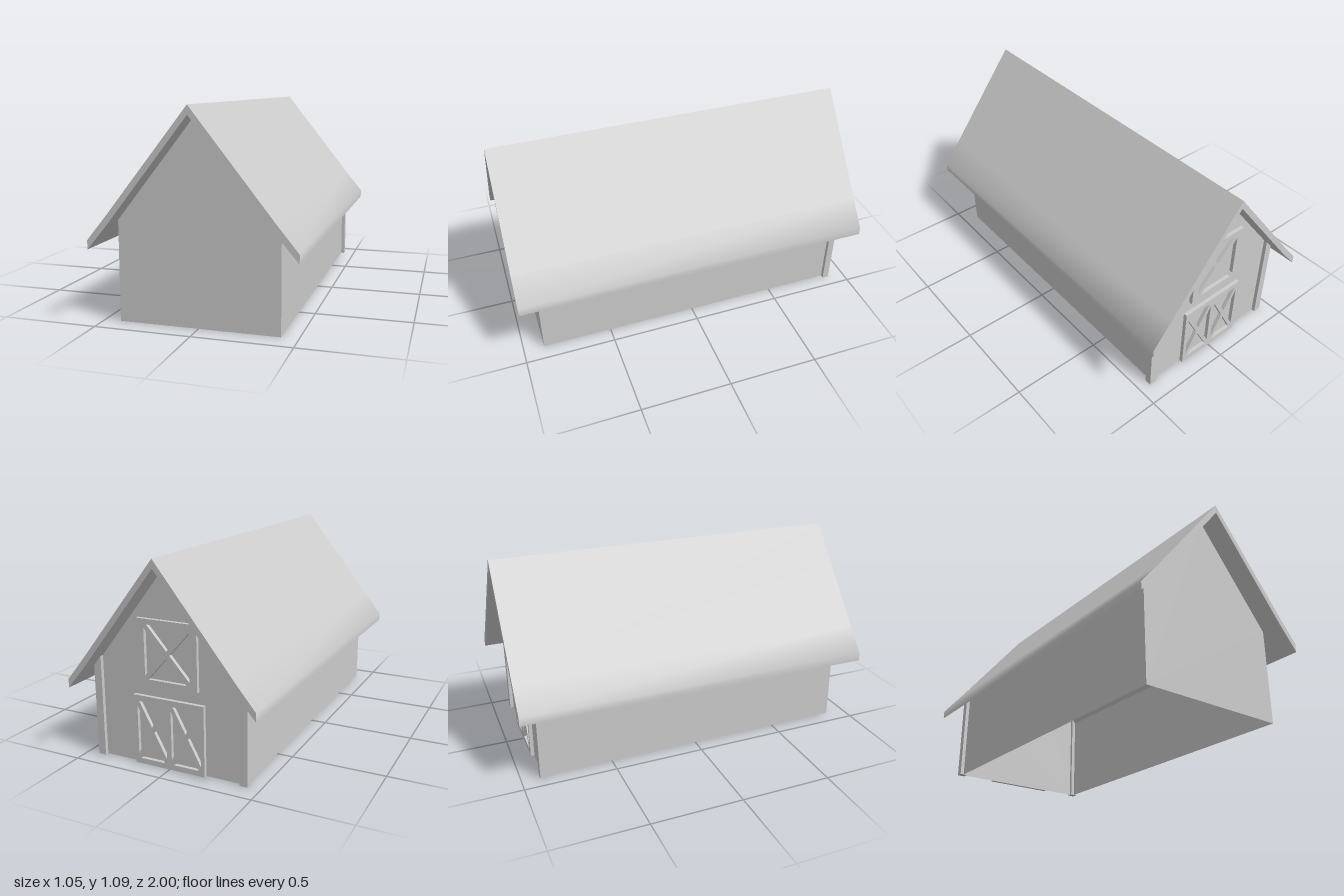
import * as THREE from 'three';
import { toCreasedNormals } from 'three/addons/utils/BufferGeometryUtils.js';

const grey = new THREE.MeshStandardMaterial({ color: 0xcccccc });
const thin = new THREE.MeshStandardMaterial({ color: 0xcccccc, side: THREE.DoubleSide });

const WALL_X = 0.414, WALL_Y = 0.516, APEX = 1.04;
const FRONT_Z = 0.887, BACK_Z = -0.882, TRIM_Z = -0.902;

const shapeOf = (pts) => new THREE.Shape(pts.map(([x, y]) => new THREE.Vector2(x, y)));

function add(parent, name, geometry, material = grey) {
  const mesh = new THREE.Mesh(geometry, material);
  mesh.name = name;
  parent.add(mesh);
  return mesh;
}

// Extrudes a front-on outline between two depths
function slab(parent, name, shape, z0, z1) {
  const g = new THREE.ExtrudeGeometry(shape, { depth: z1 - z0, bevelEnabled: false });
  g.translate(0, 0, z0);
  return add(parent, name, g);
}

// Four triangular openings that leave an X brace inside a rectangle
function cutBrace(shape, cx, cy, a, b, t) {
  const len = Math.hypot(a, b), dx = (t * len) / b, dy = (t * len) / a;
  for (const s of [-1, 1]) {
    const triangles = [
      [[0, s * dy], [a - dx, s * b], [dx - a, s * b]],
      [[s * dx, 0], [s * a, b - dy], [s * a, dy - b]],
    ];
    for (const tri of triangles) {
      shape.holes.push(new THREE.Path(tri.map(([x, y]) => new THREE.Vector2(cx + x, cy + y))));
    }
  }
}

const rect = (w, y0, y1) => shapeOf([[-w, y0], [w, y0], [w, y1], [-w, y1]]);

export function createModel() {
  const barn = new THREE.Group();
  barn.name = 'barn';

  // Thin walls, open underneath
  const walls = new THREE.Group();
  walls.name = 'walls';
  barn.add(walls);
  const gable = shapeOf([[-WALL_X, 0], [WALL_X, 0], [WALL_X, WALL_Y], [0, APEX], [-WALL_X, WALL_Y]]);
  add(walls, 'frontWall', new THREE.ShapeGeometry(gable), thin).position.z = FRONT_Z;
  const back = add(walls, 'backWall', new THREE.ShapeGeometry(gable), thin);
  back.rotation.y = Math.PI;
  back.position.z = BACK_Z;
  for (const s of [-1, 1]) {
    const side = add(walls, s > 0 ? 'leftWall' : 'rightWall',
      new THREE.PlaneGeometry(FRONT_Z - BACK_Z, WALL_Y), thin);
    side.rotation.y = (s * Math.PI) / 2;
    side.position.set(s * WALL_X, WALL_Y / 2, (FRONT_Z + BACK_Z) / 2);
  }

  // Roof with slightly flared eaves, softly rounded into the fascia
  const half = [[WALL_X, 0.565], [0.524, 0.432], [0.524, 0.386], [WALL_X, WALL_Y]];
  const mirrored = half.map(([x, y]) => [-x, y]).reverse();
  const roof = slab(barn, 'roof', shapeOf([[0, 1.086], ...half, [0, APEX], ...mirrored]), -1, 1);
  roof.geometry = toCreasedNormals(roof.geometry, Math.PI / 3);

  // Corner boards beside the doors, cut to the roof slope
  for (const s of [-1, 1]) {
    const board = [[0.392, 0], [0.435, 0], [0.435, 0.495], [WALL_X, 0.518], [0.392, 0.545]];
    slab(barn, s > 0 ? 'leftCornerBoard' : 'rightCornerBoard',
      shapeOf(board.map(([x, y]) => [s * x, y])), TRIM_Z, -0.865);
  }

  // Double barn door
  const door = rect(0.2, 0, 0.37);
  for (const s of [-1, 1]) cutBrace(door, s * 0.097, 0.184, 0.083, 0.155, 0.011);
  slab(barn, 'barnDoor', door, TRIM_Z, BACK_Z);

  // Hayloft door
  const loft = rect(0.168, 0.434, 0.77);
  cutBrace(loft, 0, 0.602, 0.126, 0.14, 0.012);
  slab(barn, 'hayloftDoor', loft, TRIM_Z, BACK_Z);

  return barn;
}
